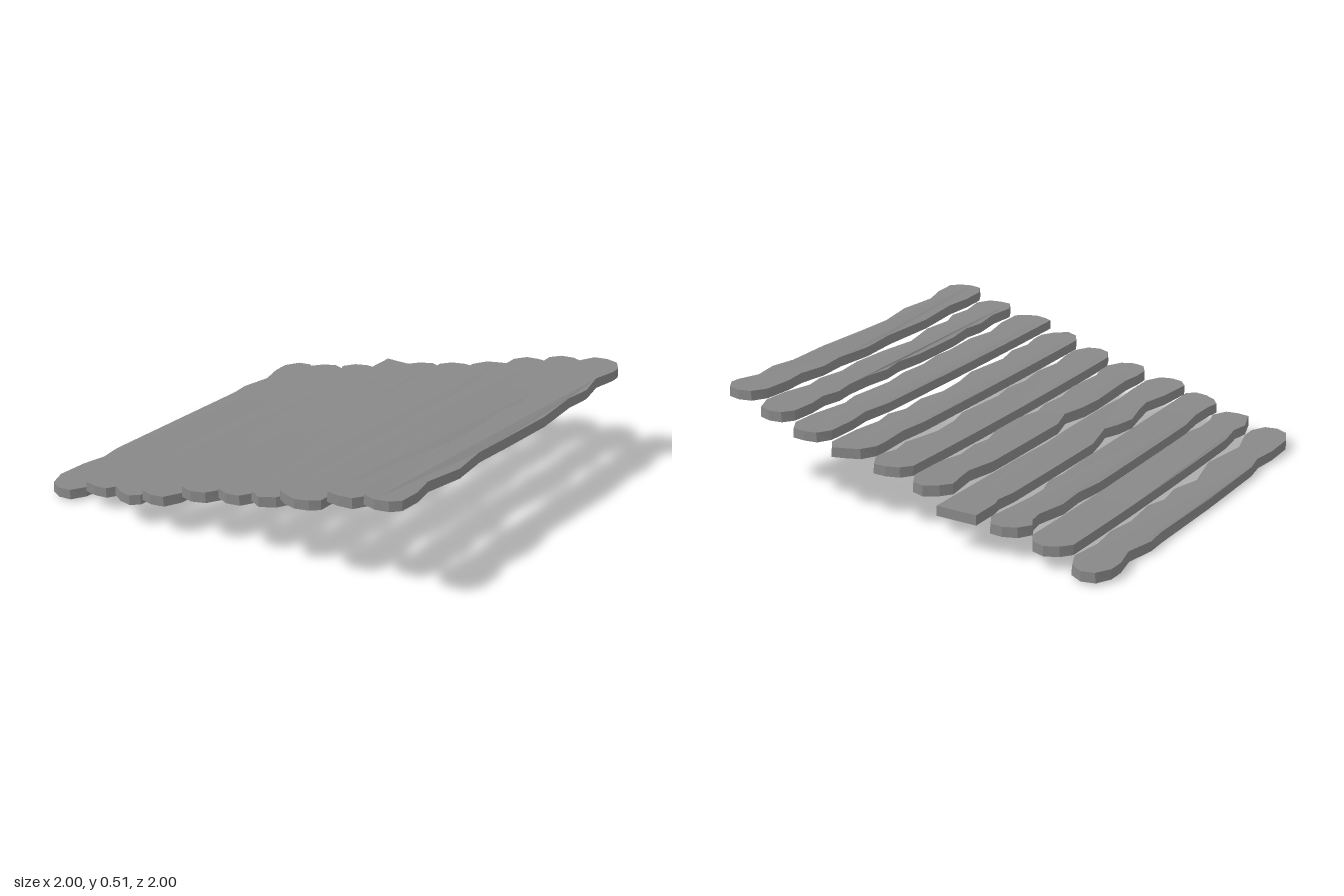
import * as THREE from 'three';

const WIDTH = 0.2;
const END_X = [0, 0.04, 0.1, 0.16, 0.2];
const STATIONS = [-0.65, -0.35, 0, 0.35, 0.65];

// Side edge as [z, inset] pairs, back to front; plain stations keep straight edges bendable
function sideEdge(flat) {
  const edge = [];
  for (let i = 0; i < flat.length; i += 2) edge.push([flat[i], flat[i + 1]]);
  for (const z of STATIONS) {
    if (!edge.some((p) => Math.abs(p[0] - z) < 0.17)) edge.push([z, 0]);
  }
  return edge.sort((a, b) => a[0] - b[0]);
}

// back, front: end z at five places across the plank; left, right: flat lists of z, inset (by -x and +x edge)
function plankGeometry({ y, thick, bow, back, front, left, right }) {
  const h = WIDTH / 2;
  const points = [];
  const add = (x, z) => points.push(new THREE.Vector2(x, -z));
  END_X.forEach((x, i) => add(x - h, back[i]));
  sideEdge(right).forEach(([z, inset]) => add(h - inset, z));
  for (let i = 4; i >= 0; i--) add(END_X[i] - h, front[i]);
  sideEdge(left).reverse().forEach(([z, inset]) => add(inset - h, z));

  const geo = new THREE.ExtrudeGeometry(new THREE.Shape(points), { depth: thick, bevelEnabled: false });
  geo.rotateX(-Math.PI / 2);

  // Lift the ends into a gentle bow and flare the underside slightly
  const pos = geo.attributes.position;
  for (let i = 0; i < pos.count; i++) {
    const z = pos.getZ(i);
    if (pos.getY(i) < thick / 2) pos.setX(i, THREE.MathUtils.clamp(pos.getX(i) * 1.06, -h, h));
    pos.setY(i, pos.getY(i) + y + bow * Math.min(1, z * z * 1.2));
  }
  geo.computeVertexNormals();
  return geo;
}

export function createModel() {
  const model = new THREE.Group();
  model.name = 'plankSteps';
  const wood = new THREE.MeshStandardMaterial({ color: 0x888888 });
  wood.name = 'grey wood';

  let count = 0;
  const addPlank = (spec) => {
    const plank = new THREE.Mesh(plankGeometry(spec), wood);
    plank.name = `plank${count + 1}`;
    plank.position.x = -0.9 + WIDTH * count++;
    model.add(plank);
  };

  // Planks from lowest to highest
  addPlank({
    y: 0, thick: 0.047, bow: 0.012,
    back: [-0.9, -0.97, -0.985, -0.95, -0.86], front: [0.84, 0.93, 0.96, 0.95, 0.88],
    left: [-0.82, 0, -0.7, 0.03, -0.55, 0, -0.45, 0.01, 0.45, 0, 0.56, 0.02, 0.68, 0],
    right: [-0.7, 0.02, -0.55, 0, -0.4, 0.02, -0.2, 0, -0.1, 0.03, 0.03, 0.01, 0.18, 0.05, 0.4, 0, 0.65, 0.04, 0.8, 0],
  });
  addPlank({
    y: 0.052, thick: 0.047, bow: 0.012,
    back: [-0.87, -0.92, -0.95, -0.93, -0.87], front: [0.8, 0.92, 0.93, 0.92, 0.85],
    left: [0.58, 0, 0.72, 0.02],
    right: [0.6, 0, 0.67, 0.02, 0.78, 0.02],
  });
  addPlank({
    y: 0.1, thick: 0.047, bow: 0.008,
    back: [-0.87, -0.93, -0.955, -0.95, -0.88], front: [0.89, 0.94, 0.975, 0.985, 0.95],
    left: [-0.82, 0.03, -0.75, 0.04, -0.6, 0.01, -0.45, 0.02, -0.3, 0, 0.55, 0, 0.7, 0.02, 0.83, 0.015],
    right: [-0.8, 0.01, -0.6, 0.03, -0.5, 0.03, -0.4, 0, -0.3, 0.01, -0.1, 0],
  });
  addPlank({
    y: 0.148, thick: 0.047, bow: 0.006,
    back: [-1, -1, -1, -1, -1], front: [0.93, 0.98, 0.995, 0.98, 0.9],
    left: [-0.85, 0, -0.8, 0.015, -0.7, 0, 0, 0, 0.12, 0.03, 0.2, 0.05, 0.28, 0.02, 0.38, 0, 0.5, 0.03, 0.62, 0.05, 0.75, 0.02],
    right: [-0.85, 0, -0.1, 0.01, 0.1, 0, 0.48, 0, 0.6, 0.01, 0.75, 0],
  });
  addPlank({
    y: 0.198, thick: 0.05, bow: 0.01,
    back: [-0.87, -0.92, -0.96, -0.94, -0.87], front: [0.88, 0.94, 0.955, 0.93, 0.86],
    left: [-0.8, 0.015, -0.7, 0.03, -0.55, 0, 0.02, 0, 0.15, 0.04, 0.28, 0.01, 0.4, 0, 0.7, 0.015, 0.8, 0],
    right: [-0.68, 0, -0.55, 0.03, -0.42, 0.015, -0.32, 0.03, -0.2, 0, 0, 0, 0.12, 0.03, 0.22, 0.01, 0.35, 0.025, 0.5, 0, 0.7, 0.02, 0.78, 0],
  });
  addPlank({
    y: 0.245, thick: 0.047, bow: 0.01,
    back: [-0.88, -0.93, -0.95, -0.95, -0.88], front: [0.85, 0.93, 0.955, 0.94, 0.87],
    left: [],
    right: [-0.82, 0, -0.75, 0.02, -0.65, 0, -0.56, 0.02, -0.45, 0.04, -0.3, 0.03, -0.18, 0, 0.1, 0.02, 0.22, 0, 0.35, 0.02, 0.5, 0, 0.65, 0.02, 0.78, 0],
  });
  addPlank({
    y: 0.297, thick: 0.047, bow: 0.006,
    back: [-0.87, -0.94, -0.965, -0.985, -0.93], front: [0.88, 0.95, 0.98, 0.94, 0.87],
    left: [-0.8, 0, -0.65, 0.015, -0.5, 0],
    right: [-0.75, 0, -0.6, 0.02, -0.5, 0, -0.4, 0.03, -0.25, 0.01, -0.1, 0.04, 0.05, 0.03, 0.2, 0, 0.45, 0.03, 0.58, 0, 0.7, 0.02, 0.8, 0],
  });
  addPlank({
    y: 0.35, thick: 0.045, bow: 0.008,
    back: [-0.93, -0.99, -1, -0.995, -0.93], front: [0.96, 0.98, 0.995, 0.975, 0.94],
    left: [-0.78, 0, -0.65, 0.02, -0.5, 0],
    right: [-0.8, 0, -0.6, 0.03, -0.5, 0.01, -0.38, 0.02, -0.25, 0.03, -0.1, 0.01, 0.05, 0.02, 0.2, 0, 0.3, 0.01, 0.5, 0, 0.65, 0.03, 0.8, 0],
  });
  addPlank({
    y: 0.395, thick: 0.048, bow: 0.015,
    back: [-0.93, -0.98, -0.99, -0.97, -0.88], front: [0.88, 0.95, 0.955, 0.945, 0.88],
    left: [-0.8, 0, -0.7, 0.02, -0.6, 0, -0.5, 0.02, -0.35, 0.02, -0.22, 0, -0.1, 0.02, 0.05, 0, 0.35, 0, 0.5, 0.02, 0.6, 0, 0.75, 0.02],
    right: [-0.75, 0, -0.6, 0.03, -0.5, 0.01, -0.35, 0.03, -0.2, 0.01, 0, 0.02, 0.2, 0.05, 0.4, 0.01, 0.55, 0.03, 0.65, 0, 0.75, 0.02],
  });
  addPlank({
    y: 0.44, thick: 0.046, bow: 0.022,
    back: [-0.87, -0.94, -0.955, -0.94, -0.88], front: [0.9, 0.97, 0.985, 0.97, 0.93],
    left: [-0.72, 0, -0.6, 0.02, -0.45, 0, -0.3, 0.02, -0.1, 0, 0.1, 0.02, 0.4, 0, 0.65, 0.02, 0.78, 0],
    right: [-0.83, 0, -0.72, 0.03, -0.58, 0, -0.45, 0.02, -0.2, 0.005, 0.1, 0.02, 0.3, 0.03, 0.5, 0, 0.7, 0.03, 0.82, 0],
  });
  return model;
}
